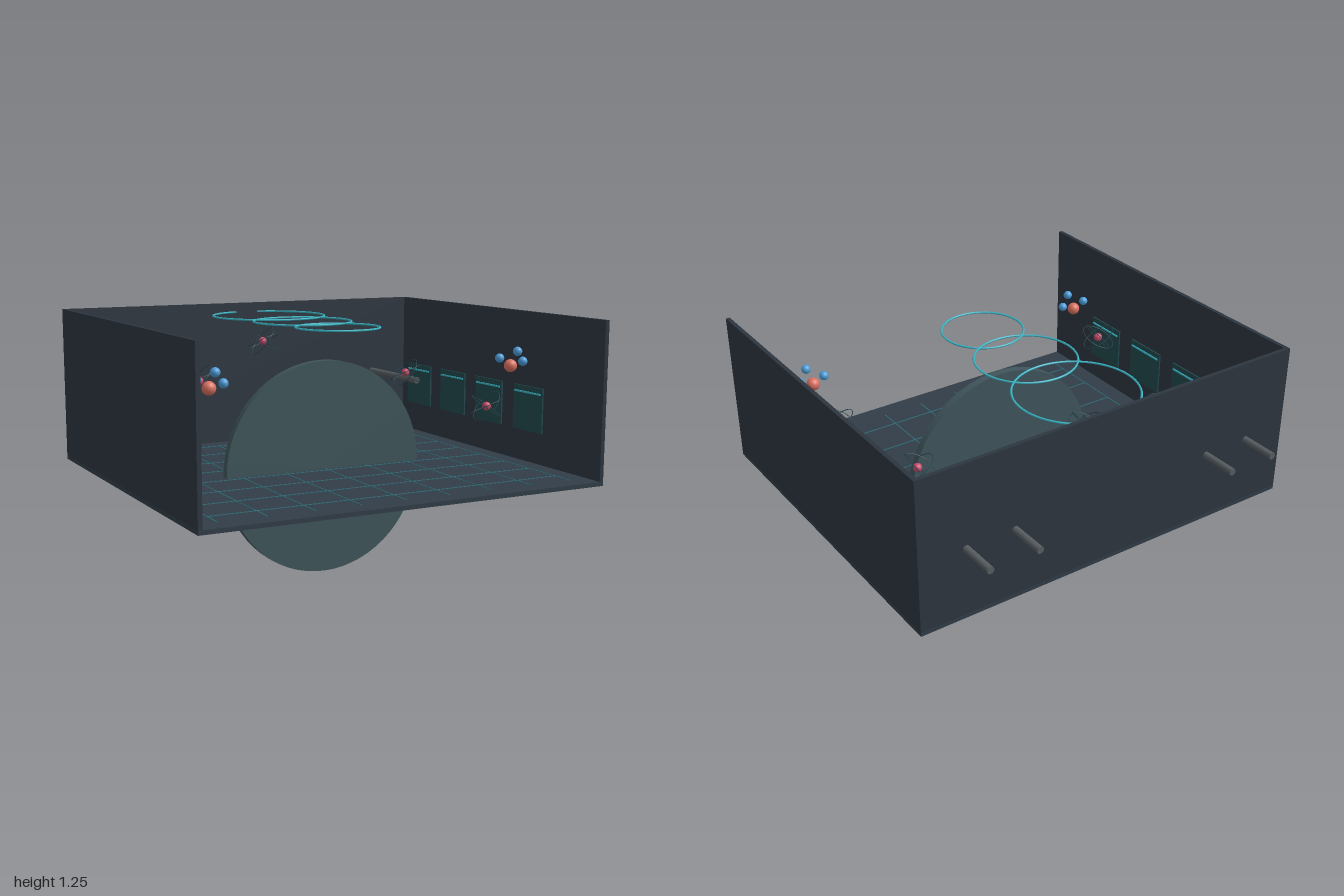
import * as THREE from 'three';

const mat = (color) => new THREE.MeshStandardMaterial({ color });

export function createModel() {
  const model = new THREE.Group();
  const wallMat = mat(0x2c353f), floorMat = mat(0x313d48), gridMat = mat(0x2f6f7a);
  const discMat = mat(0x3f555b), ringMat = mat(0x3ab4c4), pipeMat = mat(0x565c60);
  const panelMat = mat(0x22474d), coreMat = mat(0xd9705f), blueMat = mat(0x4a9bd6);
  const nucleusMat = mat(0xc9486a), orbitMat = mat(0x28464c);

  const add = (name, geo, material, x, y, z, parent = model) => {
    const mesh = new THREE.Mesh(geo, material);
    mesh.name = name;
    mesh.position.set(x, y, z);
    parent.add(mesh);
    return mesh;
  };
  const box = (name, w, h, d, material, x, y, z, parent) =>
    add(name, new THREE.BoxGeometry(w, h, d), material, x, y, z, parent);

  // Open-fronted room: floor, back wall and two side walls
  const z0 = -0.79, z1 = 0.97, floorTop = 0.505, wallTop = 1.246, t = 0.02;
  const wallH = wallTop - floorTop, wallY = (wallTop + floorTop) / 2;
  box('floor', 2, t, z1 - z0, floorMat, 0, floorTop - t / 2, (z0 + z1) / 2);
  box('backWall', 2 - 2 * t, wallH, t, wallMat, 0, wallY, z0 + t / 2);
  for (const s of [-1, 1])
    box(s > 0 ? 'leftWall' : 'rightWall', t, wallH, z1 - z0, wallMat, s * (1 - t / 2), wallY, (z0 + z1) / 2);

  // Floor grid lines
  const grid = new THREE.Group();
  grid.name = 'floorGrid';
  model.add(grid);
  for (let i = -4; i <= 4; i++)
    box('gridLineAlong', 0.005, 0.003, 1.54, gridMat, i * 0.22, floorTop + 0.001, 0.11, grid);
  for (let i = 0; i < 8; i++)
    box('gridLineAcross', 1.76, 0.003, 0.005, gridMat, 0, floorTop + 0.001, -0.656 + i * 0.204, grid);

  // Large upright disc passing through the floor
  add('disc', new THREE.CylinderGeometry(0.515, 0.515, 0.039, 64), discMat, 0, 0.515, 0.112)
    .rotation.x = Math.PI / 2;

  // Overhead rings
  for (const [z, r] of [[-0.495, 0.286], [-0.11, 0.24], [0.253, 0.197]])
    add('overheadRing', new THREE.TorusGeometry(r, 0.005, 8, 64), ringMat, 0, 1.198, z)
      .rotation.x = Math.PI / 2;

  // Pipes through the back wall
  for (const x of [-0.77, -0.527, 0.527, 0.77])
    add('pipe', new THREE.CylinderGeometry(0.017, 0.017, 0.686, 16), pipeMat, x, 0.839, -0.628)
      .rotation.x = Math.PI / 2;

  // Floating display panels along the side walls, each with a bright stripe
  for (const s of [-1, 1])
    for (let i = 0; i < 4; i++) {
      const z = -0.526 + i * 0.332;
      box('panel', 0.008, 0.22, 0.23, panelMat, s * 0.938, 0.78, z);
      box('panelStripe', 0.006, 0.008, 0.205, ringMat, s * 0.93, 0.86, z);
    }

  // Clusters: one core with three satellites
  const coreGeo = new THREE.SphereGeometry(0.031, 20, 14);
  const satelliteGeo = new THREE.SphereGeometry(0.022, 18, 12);
  const clusters = [[-0.77, 0.997, 0.547], [0.77, 1.008, 0.547], [-0.516, 0.735, -0.44], [0.516, 0.757, -0.44]];
  for (const [x, y, z] of clusters) {
    const cluster = new THREE.Group();
    cluster.name = 'cluster';
    cluster.position.set(x, y, z);
    add('core', coreGeo, coreMat, 0, 0, 0, cluster);
    for (const p of [[-0.051, 0.037, -0.017], [0.016, 0.07, 0.032], [0.06, 0.019, 0.015]])
      add('satellite', satelliteGeo, blueMat, ...p, cluster);
    model.add(cluster);
  }

  // Nuclei wrapped by three thin tilted orbits
  const nucleusGeo = new THREE.SphereGeometry(0.021, 18, 12);
  const orbitGeo = new THREE.TorusGeometry(0.085, 0.002, 6, 40);
  const nuclei = [
    [0, 1.06, -0.573], [-0.663, 0.842, -0.329], [0.658, 0.896, -0.22],
    [-0.683, 0.984, 0.22], [0.69, 0.81, 0.474],
  ];
  for (const [x, y, z] of nuclei) {
    const atom = new THREE.Group();
    atom.name = 'atom';
    atom.position.set(x, y, z);
    add('nucleus', nucleusGeo, nucleusMat, 0, 0, 0, atom);
    for (const [rx, ry] of [[1.2, 0.3], [1.9, -0.5], [1.4, 0.9]])
      add('orbit', orbitGeo, orbitMat, 0, 0, 0, atom).rotation.set(rx, ry, 0);
    model.add(atom);
  }

  return model;
}
